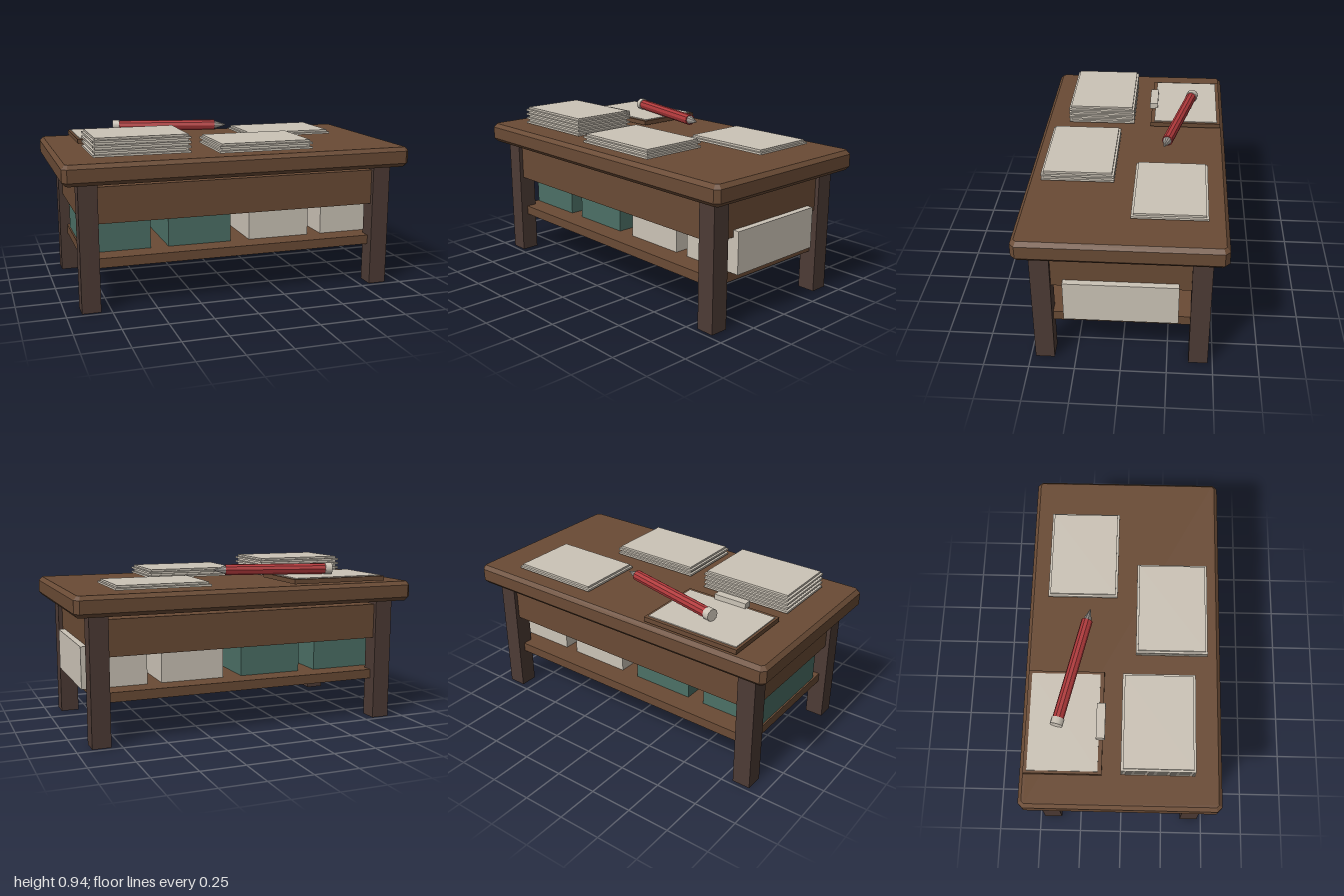
import * as THREE from 'three';

const material = (name, color) => {
  const m = new THREE.MeshStandardMaterial({ color });
  m.name = name;
  return m;
};

export function createModel() {
  const wood = material('walnut wood', 0x6a4b35);
  const legWood = material('dark leg wood', 0x4d3b35);
  const paper = material('paper', 0xccc4b7);
  const green = material('green box', 0x4c7066);
  const red = material('red pen', 0xb0393b);
  const metal = material('pen metal', 0x9a958f);
  red.flatShading = metal.flatShading = true;

  const model = new THREE.Group();
  model.name = 'coffeeTable';

  const add = (name, geometry, mat, parent = model) => {
    const mesh = new THREE.Mesh(geometry, mat);
    mesh.name = name;
    parent.add(mesh);
    return mesh;
  };
  // Box given by its limits on each axis
  const box = (name, mat, x0, x1, y0, y1, z0, z1, parent = model) => {
    const mesh = add(name, new THREE.BoxGeometry(x1 - x0, y1 - y0, z1 - z0), mat, parent);
    mesh.position.set((x0 + x1) / 2, (y0 + y1) / 2, (z0 + z1) / 2);
    return mesh;
  };

  // Tabletop with chamfered edges and corners
  const hx = 0.98, hz = 0.528, c = 0.014;
  const outline = new THREE.Shape([
    [-hx + c, -hz], [hx - c, -hz], [hx, -hz + c], [hx, hz - c],
    [hx - c, hz], [-hx + c, hz], [-hx, hz - c], [-hx, -hz + c],
  ].map(([x, y]) => new THREE.Vector2(x, y)));
  const top = add('tabletop', new THREE.ExtrudeGeometry(outline, {
    depth: 0.071, bevelEnabled: true, bevelThickness: 0.022, bevelSize: 0.02, bevelSegments: 1,
  }), wood);
  top.rotation.x = -Math.PI / 2;
  top.position.y = 0.737;

  // Legs
  for (const sx of [-1, 1]) {
    for (const sz of [-1, 1]) {
      const leg = add('leg', new THREE.BoxGeometry(0.105, 0.716, 0.105), legWood);
      leg.position.set(sx * 0.861, 0.358, sz * 0.421);
    }
  }

  // Apron block and lower shelf
  box('apron', wood, -0.89, 0.89, 0.488, 0.69, -0.45, 0.45);
  box('shelf', wood, -0.87, 0.87, 0.236, 0.29, -0.43, 0.43);

  // Storage boxes on the shelf
  [-0.675, -0.2, 0.285, 0.74].forEach((x, i) =>
    box('storageBox', i < 2 ? green : paper, x - 0.186, x + 0.186, 0.29, 0.527, -0.305, 0.305));

  // Stacks of paper with alternating wide and narrow sheets
  const stack = (layers, x0, x1, z0, z1) => {
    const group = new THREE.Group();
    group.name = 'paperStack';
    model.add(group);
    for (let i = 0; i < layers; i++) {
      const inset = i % 2 ? 0.012 : 0;
      const y = 0.839 + i * 0.013;
      box('sheet', paper, x0 + inset, x1 - inset, y, y + 0.0115, z0 + inset, z1 - inset, group);
    }
  };
  stack(8, -0.815, -0.272, 0, 0.4);
  stack(4, -0.13, 0.418, 0.07, 0.473);
  stack(2, 0.22, 0.76, -0.443, -0.042);

  // Clipboard with its page and clip
  const clipboard = new THREE.Group();
  clipboard.name = 'clipboard';
  model.add(clipboard);
  box('board', wood, -0.822, -0.244, 0.839, 0.865, -0.525, -0.102, clipboard);
  box('page', paper, -0.808, -0.26, 0.865, 0.87, -0.505, -0.124, clipboard);
  box('clip', paper, -0.632, -0.434, 0.865, 0.9, -0.138, -0.09, clipboard);

  // Pen lying along its own x axis
  const pen = new THREE.Group();
  pen.name = 'pen';
  pen.position.set(-0.565, 0.903, -0.355);
  pen.rotation.y = -0.232;
  model.add(pen);
  const penPart = (name, mat, start, length, rStart, rEnd) => {
    const geometry = new THREE.CylinderGeometry(rEnd, rStart, length, 10);
    const mesh = add(name, geometry, mat, pen);
    mesh.rotation.z = -Math.PI / 2;
    mesh.position.x = start + length / 2;
  };
  penPart('penCap', paper, 0, 0.04, 0.036, 0.036);
  penPart('penBarrel', red, 0.04, 0.59, 0.032, 0.032);
  penPart('penTip', metal, 0.63, 0.07, 0.026, 0.003);

  return model;
}
